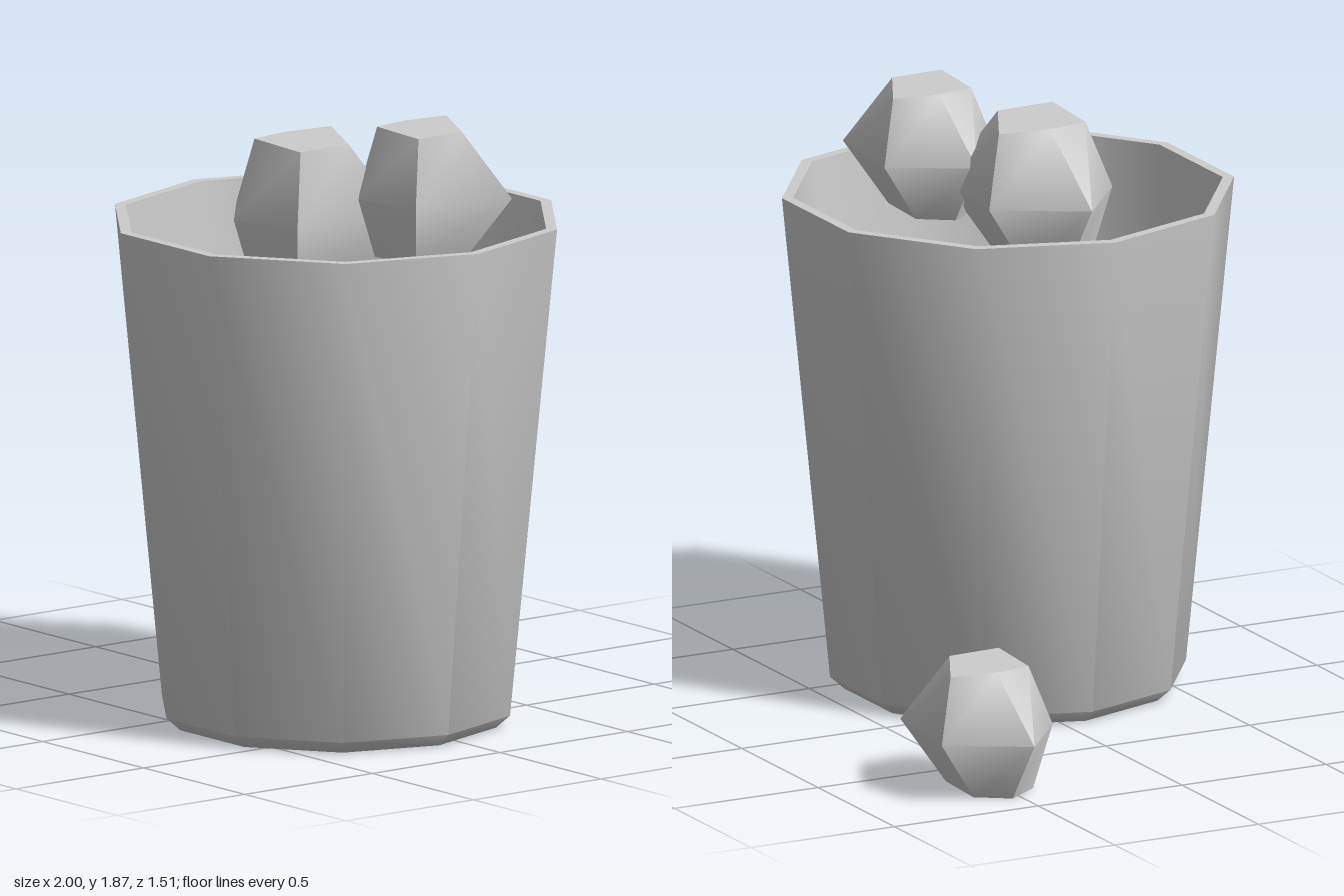
import * as THREE from 'three';
import { toCreasedNormals, mergeVertices } from 'three/addons/utils/BufferGeometryUtils.js';

const grey = new THREE.MeshStandardMaterial({ color: 0xcccccc });
grey.name = 'light grey';

// Ten-sided tapered bucket with thin wall and chamfered foot
function bucketGeometry() {
  const profile = [
    [0, 0], [0.51, 0], [0.555, 0.04], [0.705, 1.575],
    [0.67, 1.575], [0.525, 0.09], [0, 0.09],
  ].map(([r, y]) => new THREE.Vector2(r, y));
  const lathe = new THREE.LatheGeometry(profile, 10, Math.PI / 2);
  return toCreasedNormals(lathe, 0.8);
}

// Irregular five-sided stone: three rings of [x, z], closed by flat caps
function stoneGeometry() {
  const rings = [
    [0, [[-0.055, -0.08], [0.145, -0.07], [0.115, 0.1], [-0.05, 0.13], [-0.125, 0.02]]],
    [0.19, [[-0.091, -0.209], [0.241, -0.177], [0.171, 0.144], [-0.032, 0.208], [-0.235, 0.037]]],
    [0.4, [[-0.075, -0.17], [0.139, -0.06], [0.15, 0.117], [-0.075, 0.101], [-0.095, -0.02]]],
  ];
  const n = 5;
  const positions = rings.flatMap(([y, ring]) => ring.flatMap(([x, z]) => [x, y, z]));
  const index = [];
  for (let band = 0; band < 2; band++) {
    for (let i = 0; i < n; i++) {
      const a = band * n + i, b = band * n + (i + 1) % n;
      index.push(a, a + n, b, b, a + n, b + n);
    }
  }
  for (let i = 1; i < n - 1; i++) {
    index.push(0, i, i + 1); // underside
    index.push(2 * n, 2 * n + i + 1, 2 * n + i); // top
  }
  const geometry = new THREE.BufferGeometry();
  geometry.setAttribute('position', new THREE.Float32BufferAttribute(positions, 3));
  geometry.setIndex(index);
  return toCreasedNormals(mergeVertices(geometry), 0.9);
}

export function createModel() {
  const model = new THREE.Group();
  model.name = 'bucketWithStones';

  const bucket = new THREE.Mesh(bucketGeometry(), grey);
  bucket.name = 'bucket';
  bucket.position.set(0.29, 0, 0.08);
  model.add(bucket);

  // One stone on the ground, two at the bucket's mouth
  const stone = stoneGeometry();
  const places = [
    ['groundStone', -0.765, 0, -0.55, 1],
    ['rearStone', 0.49, 1.47, -0.083, 1],
    ['frontStone', 0.181, 1.366, 0.135, 1.11],
  ];
  for (const [name, x, y, z, scale] of places) {
    const mesh = new THREE.Mesh(stone, grey);
    mesh.name = name;
    mesh.position.set(x, y, z);
    mesh.scale.setScalar(scale);
    model.add(mesh);
  }
  return model;
}
